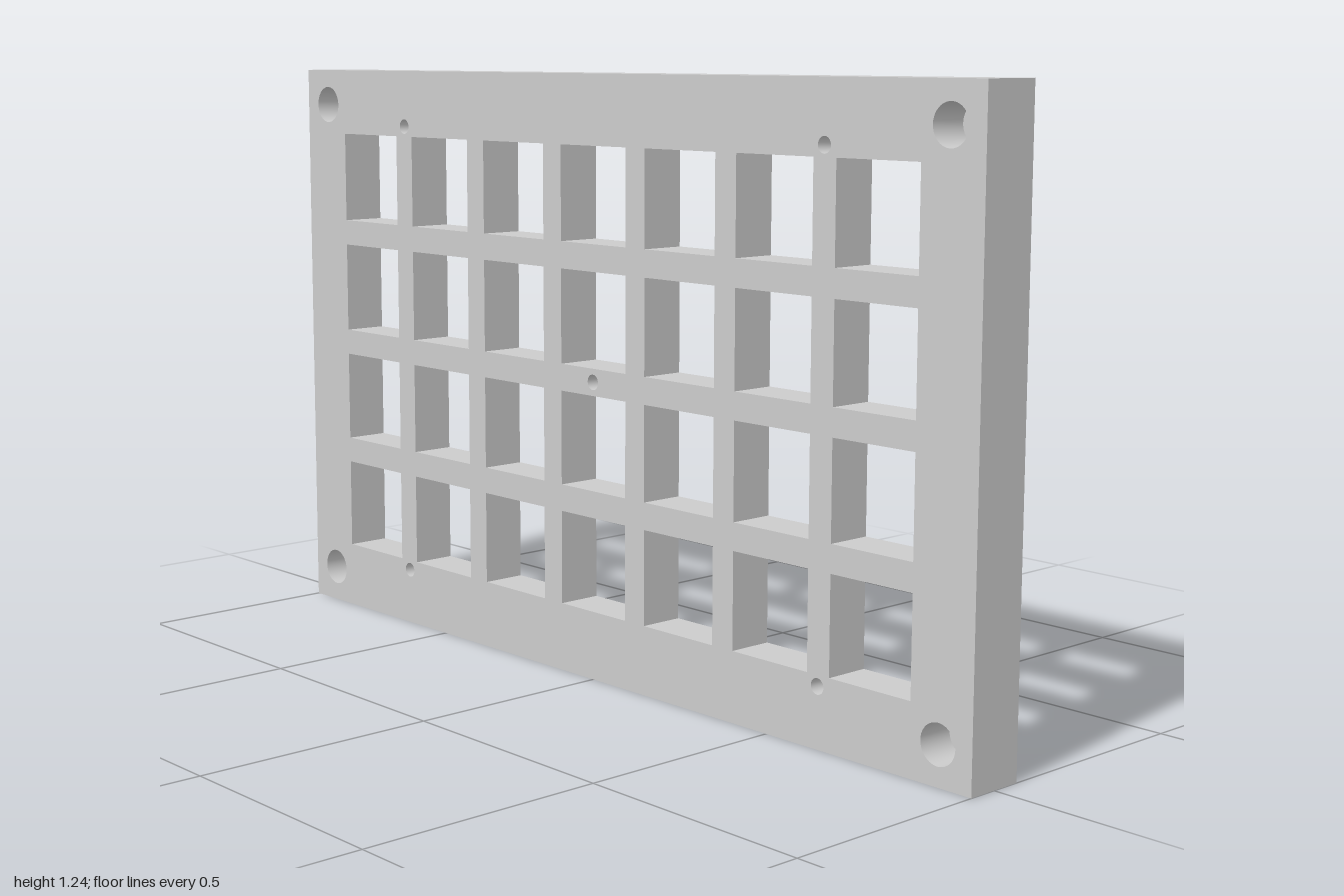
import * as THREE from 'three';

const W = 2, H = 1.243, FRONT = 0.0625, BACK = -0.0625, RECESS = -0.0325;
const MID = H / 2, PITCH = 0.253, OPENING = 0.197, BORDER = 0.085;

// Counter-clockwise loops of points in the panel plane
function rect(cx, cy, w, h) {
  return [[-1, -1], [1, -1], [1, 1], [-1, 1]].map(
    ([sx, sy]) => new THREE.Vector2(cx + sx * w / 2, cy + sy * h / 2));
}
function circle(cx, cy, r, n) {
  return Array.from({ length: n }, (_, i) => {
    const a = i / n * Math.PI * 2;
    return new THREE.Vector2(cx + r * Math.cos(a), cy + r * Math.sin(a));
  });
}

// Flat face at depth z, pointing forward or backward
function face(loop, holes, z, backward = false) {
  const shape = new THREE.Shape(loop);
  shape.holes = holes.map(h => new THREE.Path(h));
  const g = new THREE.ShapeGeometry(shape);
  g.translate(0, 0, z);
  if (backward) {
    g.setIndex(Array.from(g.index.array).reverse());
    g.computeVertexNormals();
  }
  return g;
}

// Wall along a loop; the solid lies to the left of the direction of travel
function wall(loop, z0, z1, smooth = false) {
  const pos = [], idx = [], n = loop.length;
  for (const p of loop) pos.push(p.x, p.y, z0, p.x, p.y, z1);
  for (let i = 0; i < n; i++) {
    const a = 2 * i, b = 2 * ((i + 1) % n);
    idx.push(a, b, b + 1, a, b + 1, a + 1);
  }
  let g = new THREE.BufferGeometry();
  g.setAttribute('position', new THREE.Float32BufferAttribute(pos, 3));
  g.setIndex(idx);
  if (!smooth) g = g.toNonIndexed();
  g.computeVertexNormals();
  return g;
}
const inward = loop => [...loop].reverse();

export function createModel() {
  const model = new THREE.Group();
  model.name = 'gridPanel';
  const material = new THREE.MeshStandardMaterial({ color: 0xcccccc });
  const add = (name, geometry) => {
    const mesh = new THREE.Mesh(geometry, material);
    mesh.name = name;
    model.add(mesh);
  };

  const outline = rect(0, MID, W, H);
  const recess = rect(0, MID, W - 2 * BORDER, H - 2 * BORDER);

  // 7 by 4 grid of square openings
  const openings = [];
  for (let row = 0; row < 4; row++) {
    for (let col = 0; col < 7; col++) {
      openings.push(rect((col - 3) * PITCH, MID + (row - 1.5) * PITCH, OPENING, OPENING));
    }
  }

  // Blind round holes: large at the corners, small around the grid and at its centre
  const pockets = [{ name: 'centreHole', loop: circle(0, MID, 0.016, 24), depth: 0.06 }];
  for (const sx of [-1, 1]) {
    for (const sy of [-1, 1]) {
      pockets.push({ name: 'cornerHole', loop: circle(sx * 0.922, MID + sy * 0.543, 0.04, 40), depth: 0.08 });
      pockets.push({ name: 'smallHole', loop: circle(sx * 0.631, MID + sy * 0.5, 0.016, 24), depth: 0.06 });
    }
  }

  // Panel faces and outer edge
  add('frontFace', face(outline, [...openings, ...pockets.map(p => p.loop)], FRONT));
  add('outerEdge', wall(outline, BACK, FRONT));
  add('backRim', face(outline, [recess], BACK, true));

  // Shallow recess in the back
  add('recessEdge', wall(inward(recess), BACK, RECESS));
  add('recessFloor', face(recess, openings, RECESS, true));

  for (const loop of openings) add('openingWalls', wall(inward(loop), RECESS, FRONT));

  for (const { name, loop, depth } of pockets) {
    add(name + 'Wall', wall(inward(loop), FRONT - depth, FRONT, true));
    add(name + 'Floor', face(loop, [], FRONT - depth));
  }
  return model;
}
